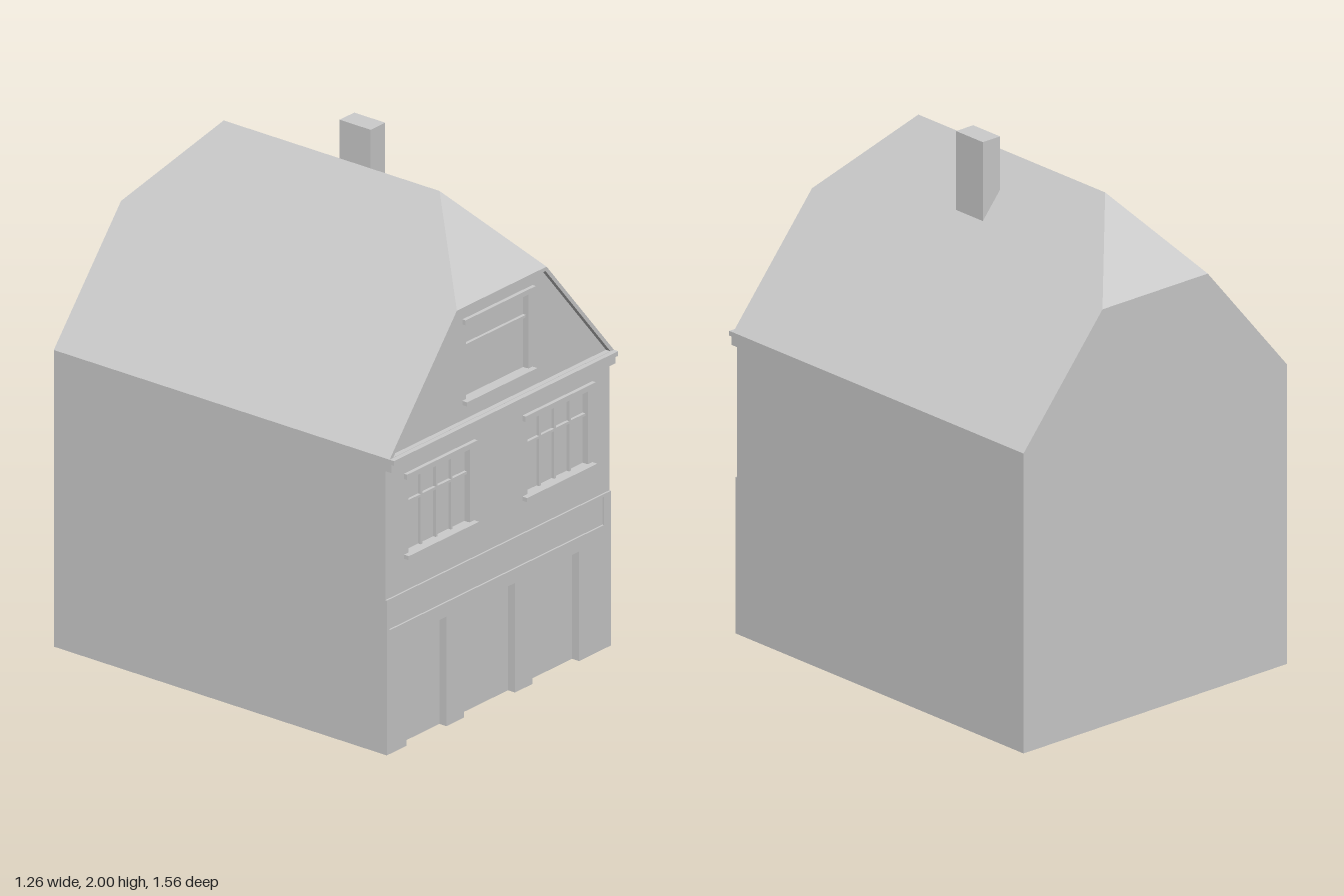
import * as THREE from 'three';

export function createModel() {
  const house = new THREE.Group();
  house.name = 'house';
  const stone = new THREE.MeshStandardMaterial({ color: 0xcccccc, side: THREE.DoubleSide });
  stone.name = 'pale grey';

  const W = 0.63, EAVE = 1.15, HIP = 1.6, HX = 0.252, RIDGE = 1.9, BACK = -0.78;
  const WALL = 0.74, ROOF_FRONT = 0.76, RECESS = 0.715;

  const add = (name, geometry) => {
    const mesh = new THREE.Mesh(geometry, stone);
    mesh.name = name;
    house.add(mesh);
    return mesh;
  };
  // Box given by its limits on each axis
  const box = (name, x0, x1, y0, y1, z0, z1) =>
    add(name, new THREE.BoxGeometry(x1 - x0, y1 - y0, z1 - z0)
      .translate((x0 + x1) / 2, (y0 + y1) / 2, (z0 + z1) / 2));
  const outline = (pts) => new THREE.Shape(pts.map(([x, y]) => new THREE.Vector2(x, y)));
  const rect = (x0, x1, y0, y1) => [[x0, y0], [x1, y0], [x1, y1], [x0, y1]];
  // Plate in the x-y plane between two depths, with optional openings
  const plate = (name, pts, z0, z1, holes = []) => {
    const shape = outline(pts);
    holes.forEach((h) => shape.holes.push(outline(h)));
    return add(name, new THREE.ExtrudeGeometry(shape, { depth: z1 - z0, bevelEnabled: false }).translate(0, 0, z0));
  };
  // Flat convex polygon as a fan
  const face = (name, pts) => {
    const g = new THREE.BufferGeometry();
    g.setAttribute('position', new THREE.Float32BufferAttribute(pts.flat(), 3));
    const index = [];
    for (let i = 1; i < pts.length - 1; i++) index.push(0, i, i + 1);
    g.setIndex(index);
    g.computeVertexNormals();
    return add(name, g);
  };

  // Main block and back gable
  box('mainWalls', -W, W, 0, EAVE, BACK, RECESS);
  face('backGable', [[W, EAVE, BACK], [-W, EAVE, BACK], [-HX, HIP, BACK], [HX, HIP, BACK]]);

  // Facade with door notches and window openings
  const doors = [[-0.52, -0.295], [-0.195, 0.09], [0.19, 0.45]];
  const doorTop = 0.425;
  const base = [[-W, 0]];
  doors.forEach(([a, b]) => base.push([a, 0], [a, doorTop], [b, doorTop], [b, 0]));
  base.push([W, 0]);
  const windows = [[-0.5, -0.155, 0.74, 1.035], [0.17, 0.51, 0.74, 1.035]];
  const attic = [-0.175, 0.175, 1.225, 1.525];
  plate('facade', [...base, [W, EAVE], [-W, EAVE]], RECESS, WALL, windows.map((w) => rect(...w)));
  plate('shopFront', [...base, [W, 0.6], [-W, 0.6]], WALL, 0.747, [rect(-0.615, 0.59, 0.48, 0.59)]);

  // Front gable with its attic window, and the roof verge framing it
  const gable = [[-W, EAVE], [W, EAVE], [HX, HIP], [-HX, HIP]];
  const inner = [[-W + 0.02, EAVE + 0.001], [W - 0.02, EAVE + 0.001], [HX - 0.006, HIP - 0.015], [-HX + 0.006, HIP - 0.015]];
  plate('gableBacking', inner, RECESS - 0.01, RECESS);
  plate('frontGable', inner, RECESS, WALL, [rect(...attic)]);
  plate('roofVerge', gable, WALL - 0.02, ROOF_FRONT, [inner]);

  // Window bars, sills and lintels
  const bars = (w, mullions, crossY) => {
    mullions.forEach((x) => box('mullion', x - 0.005, x + 0.005, w[2], w[3], RECESS, RECESS + 0.012));
    box('crossbar', w[0], w[1], crossY - 0.005, crossY + 0.005, RECESS, RECESS + 0.012);
  };
  bars(windows[0], [-0.41, -0.325, -0.24], 0.93);
  bars(windows[1], [0.255, 0.34, 0.425], 0.93);
  bars(attic, [], 1.425);
  [[-0.525, -0.13], [0.14, 0.535]].forEach(([a, b]) => {
    box('windowSill', a, b, 0.725, 0.741, WALL - 0.005, 0.762);
    box('windowLintel', a, b, 1.034, 1.055, WALL - 0.005, 0.755);
  });
  box('atticSill', -0.197, 0.197, 1.21, 1.226, WALL - 0.005, 0.762);
  box('atticLintel', -0.197, 0.197, 1.523, 1.542, WALL - 0.005, 0.755);

  // Stepped cornice
  box('lowerCornice', -W, W, 1.1, 1.132, WALL - 0.005, 0.768);
  box('upperCornice', -W, W, 1.132, EAVE, WALL - 0.005, 0.78);

  // Half-hipped roof
  const ridgeF = [0, RIDGE, 0.475], ridgeB = [0, RIDGE, -0.515];
  const slope = (s) => [[s * W, EAVE, ROOF_FRONT], [s * W, EAVE, BACK], [s * HX, HIP, BACK],
    ridgeB, ridgeF, [s * HX, HIP, ROOF_FRONT]];
  face('leftRoofSlope', slope(1));
  face('rightRoofSlope', slope(-1).reverse());
  face('frontHip', [[-HX, HIP, ROOF_FRONT], [HX, HIP, ROOF_FRONT], ridgeF]);
  face('backHip', [[HX, HIP, BACK], [-HX, HIP, BACK], ridgeB]);

  box('chimney', 0.088, 0.17, 1.65, 2, -0.055, 0.087);
  return house;
}
